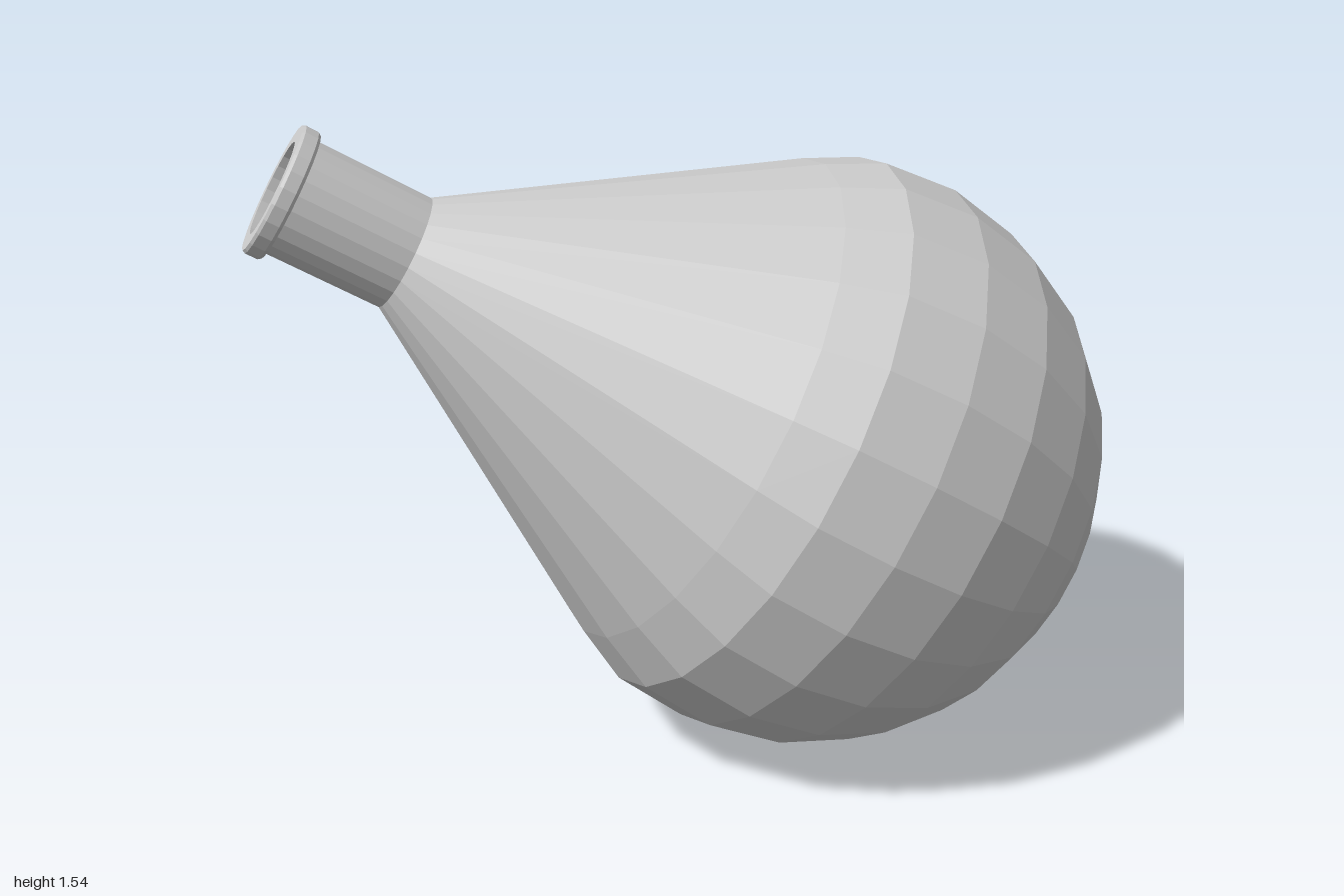
import * as THREE from 'three';

const SEGMENTS = 24;
const R = 0.714; // bulb radius
const WALL = 0.024;

const material = new THREE.MeshStandardMaterial({
  color: 0xcccccc, flatShading: true, side: THREE.DoubleSide,
});

// Revolves [radius, height] pairs about the flask axis
function lathe(name, profile) {
  const points = profile.map(([r, t]) => new THREE.Vector2(r, t));
  const mesh = new THREE.Mesh(new THREE.LatheGeometry(points, SEGMENTS), material);
  mesh.name = name;
  return mesh;
}

// Round bottom in 15 degree rings, ending just above the equator
function bulbProfile(radius) {
  const rings = [];
  for (let deg = -90; deg <= 15; deg += 15) {
    const a = THREE.MathUtils.degToRad(deg);
    rings.push([deg === -90 ? 0 : radius * Math.cos(a), radius * Math.sin(a)]);
  }
  return rings;
}

export function createModel() {
  const flask = new THREE.Group();
  flask.name = 'flask';

  // Outer bulb tapering through a long cone to the neck
  flask.add(lathe('body', [...bulbProfile(R), [0.62, 0.315], [0.135, 1.077]]));

  // Straight neck
  flask.add(lathe('neck', [[0.135, 1.077], [0.135, 1.355]]));

  // Lip around the mouth, with a slightly softened outer edge
  flask.add(lathe('rim', [
    [0.135, 1.352], [0.149, 1.352], [0.154, 1.359], [0.154, 1.388],
    [0.15, 1.395], [0.111, 1.395],
  ]));

  // Hollow inside
  flask.add(lathe('innerWall', [
    ...bulbProfile(R - WALL), [0.597, 0.305], [0.111, 1.07], [0.111, 1.395],
  ]));

  // Lean the axis towards the right side, resting on the bulb
  flask.rotation.z = Math.PI / 3;
  flask.position.set(0.286, R, 0);

  const model = new THREE.Group();
  model.name = 'roundFlask';
  model.add(flask);
  return model;
}
